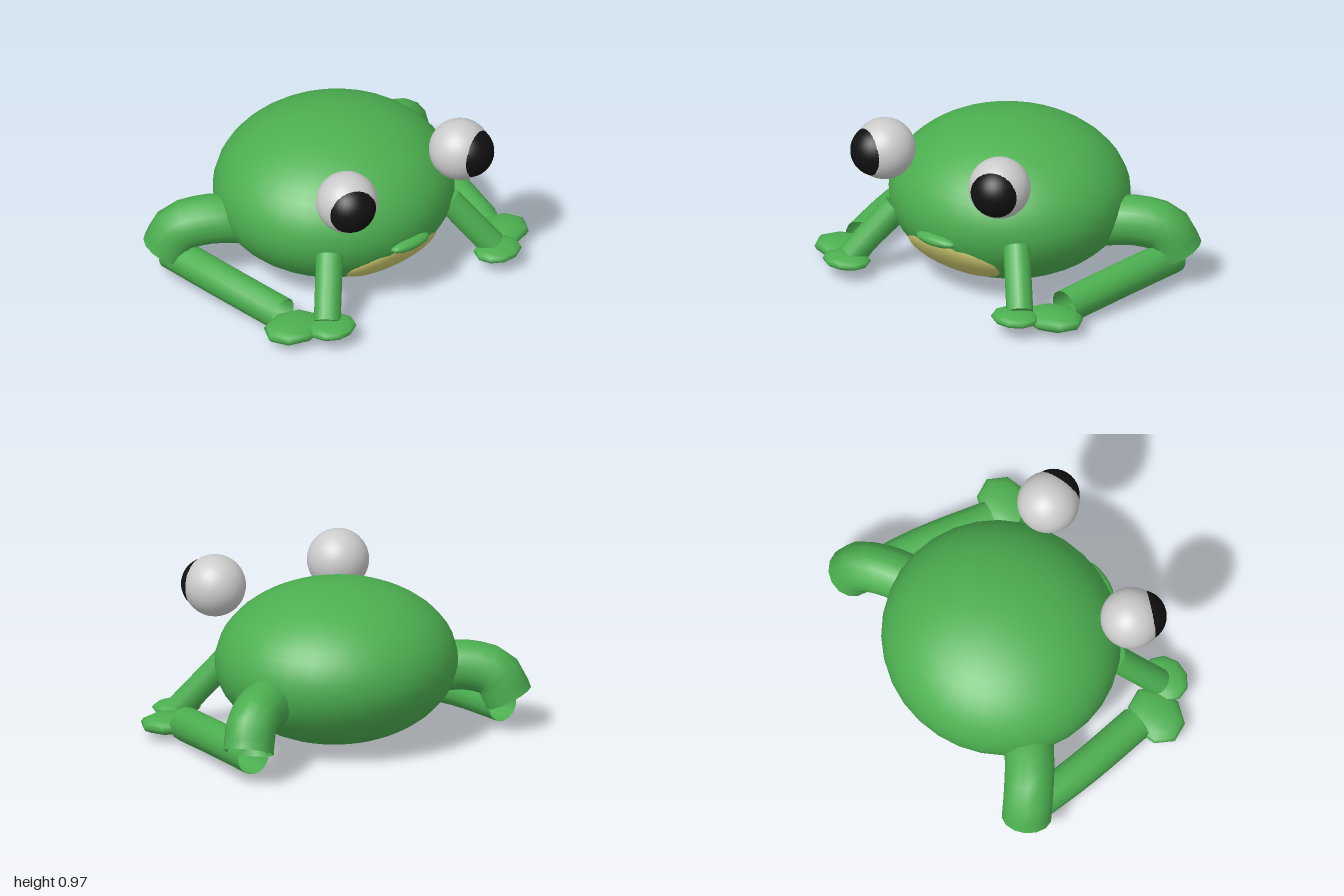
import * as THREE from 'three';

const paint = (color, side = THREE.FrontSide) => new THREE.MeshStandardMaterial({ color, side });
const green = paint(0x4caf50);
const greenOpen = paint(0x4caf50, THREE.DoubleSide);
const yellow = paint(0xcdc870);
const white = paint(0xcccccc);
const black = paint(0x111111);

const V = (x, y, z) => new THREE.Vector3(x, y, z);

function part(name, geometry, material) {
  const mesh = new THREE.Mesh(geometry, material);
  mesh.name = name;
  return mesh;
}

// Ellipsoid from a centre and three radii
function ellipsoid(name, material, c, r, w = 24, h = 16) {
  const g = new THREE.SphereGeometry(1, w, h).scale(...r).translate(...c);
  return part(name, g, material);
}

// Open-ended bent limb swept along a smooth path
function limb(name, points, radius, segments) {
  const path = new THREE.CatmullRomCurve3(points);
  return part(name, new THREE.TubeGeometry(path, segments, radius, 14, false), greenOpen);
}

// Straight closed limb between two points
function rod(name, a, b, radius) {
  const d = b.clone().sub(a);
  const mesh = part(name, new THREE.CylinderGeometry(radius, radius, d.length(), 14), green);
  mesh.position.copy(a).addScaledVector(d, 0.5);
  mesh.quaternion.setFromUnitVectors(V(0, 1, 0), d.normalize());
  return mesh;
}

export function createModel() {
  const model = new THREE.Group();
  model.name = 'frog';

  // Body
  const centre = [0, 0.457, -0.08];
  const radii = [0.68, 0.445, 0.655];
  model.add(ellipsoid('body', green, centre, radii, 32, 24));

  // Belly patch: a flat lens just breaking through the lower front of the body
  const patch = new THREE.SphereGeometry(1, 32, 24)
    .scale(0.466, 0.4, 0.165)
    .translate(0, 0, 0.85)
    .rotateX(0.59)
    .scale(...radii)
    .translate(...centre);
  model.add(part('belly', patch, yellow));

  // Mouth
  model.add(ellipsoid('mouth', green, [0, 0.385, 0.565], [0.135, 0.034, 0.05], 16, 10));

  for (const s of [1, -1]) {
    const side = new THREE.Group();
    side.name = s > 0 ? 'leftSide' : 'rightSide';

    // Eye, with a pupil pushed outward and forward
    side.add(ellipsoid('eye', white, [s * 0.41, 0.802, 0.51], [0.172, 0.172, 0.172], 32, 24));
    side.add(ellipsoid('pupil', black, [s * 0.429, 0.802, 0.557], [0.145, 0.145, 0.145], 32, 24));

    // Front leg and foot
    side.add(rod('frontLeg', V(s * 0.43, 0.4, 0.385), V(s * 0.6, 0.12, 0.565), 0.075));
    side.add(ellipsoid('frontFoot', green, [s * 0.6, 0.105, 0.607], [0.142, 0.04, 0.12], 10, 8));

    // Back leg: bent thigh, long shin and foot
    side.add(limb('thigh', [
      V(s * 0.5, 0.36, -0.24), V(s * 0.68, 0.375, -0.35),
      V(s * 0.815, 0.325, -0.45), V(s * 0.865, 0.19, -0.495),
    ], 0.14, 8));
    side.add(limb('shin', [
      V(s * 0.725, 0.103, 0.33), V(s * 0.795, 0.143, -0.08), V(s * 0.83, 0.155, -0.49),
    ], 0.097, 8));
    side.add(ellipsoid('backFoot', green, [s * 0.745, 0.085, 0.45], [0.182, 0.054, 0.145], 8, 8));

    model.add(side);
  }
  return model;
}
